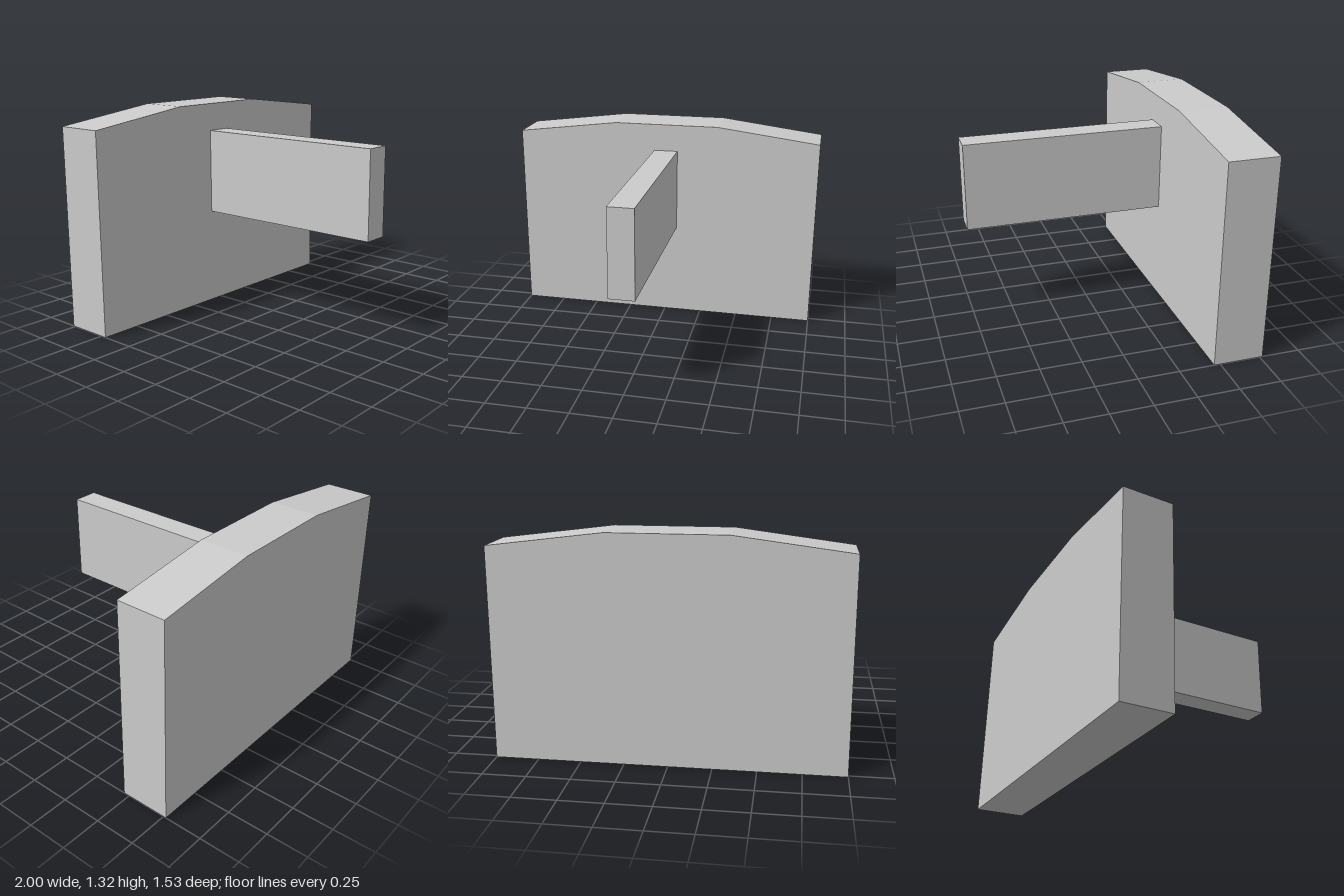
import * as THREE from 'three';

const BACK = -0.767, FACE = -0.463, TIP = 0.767;

export function createModel() {
  const group = new THREE.Group();
  const material = new THREE.MeshStandardMaterial({ color: 0xcccccc, flatShading: true });

  // Upright slab whose top edge is a shallow arch in three straight segments
  const outline = new THREE.Shape();
  outline.moveTo(-1, 0);
  outline.lineTo(1, 0);
  outline.lineTo(1, 1.233);
  outline.lineTo(0.34, 1.317);
  outline.lineTo(-0.34, 1.317);
  outline.lineTo(-1, 1.233);
  outline.closePath();
  const slab = new THREE.Mesh(
    new THREE.ExtrudeGeometry(outline, { depth: FACE - BACK, bevelEnabled: false }),
    material
  );
  slab.name = 'archedSlab';
  slab.position.z = BACK;
  group.add(slab);

  // Narrow arm projecting forward from the middle of the slab
  const bottom = 0.608, top = 1.143;
  const arm = new THREE.Mesh(new THREE.BoxGeometry(0.155, top - bottom, TIP - FACE), material);
  arm.name = 'projectingArm';
  arm.position.set(0, (bottom + top) / 2, (FACE + TIP) / 2);
  group.add(arm);

  return group;
}
